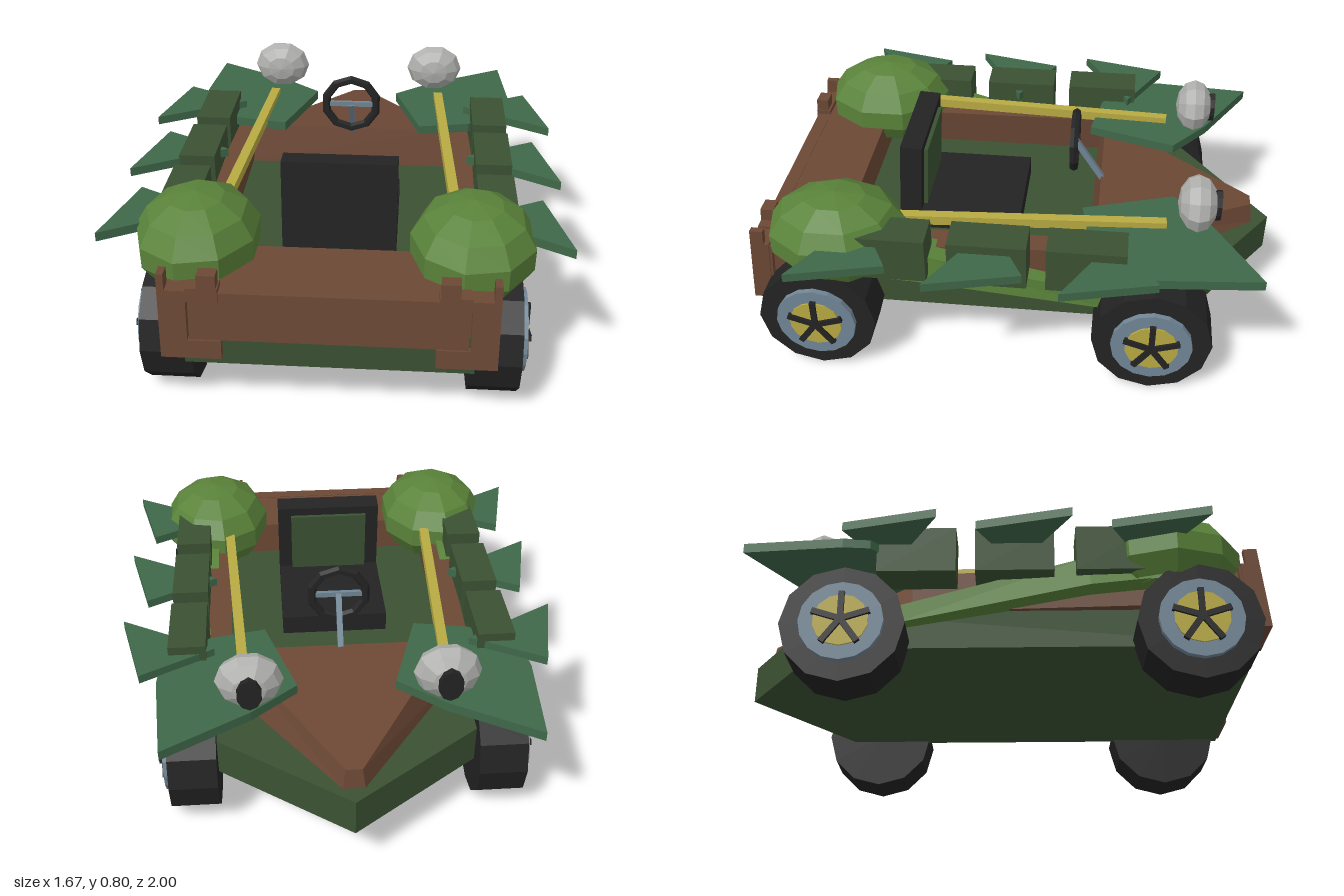
import * as THREE from 'three';

const mat = (name, color, extra = {}) => {
  const m = new THREE.MeshStandardMaterial({ color, flatShading: true, ...extra });
  m.name = name;
  return m;
};

// Closed solid between matching rings of [x, y, z] points
function loft(...rings) {
  const n = rings[0].length, tris = [];
  for (let r = 0; r < rings.length - 1; r++) {
    const a = rings[r], b = rings[r + 1];
    for (let i = 0; i < n; i++) {
      const j = (i + 1) % n;
      tris.push([a[i], a[j], b[j]], [a[i], b[j], b[i]]);
    }
  }
  const last = rings[rings.length - 1];
  for (let i = 1; i < n - 1; i++) {
    tris.push([rings[0][0], rings[0][i + 1], rings[0][i]], [last[0], last[i], last[i + 1]]);
  }
  // Turn every face outward whichever way the rings wind
  const v = (p) => new THREE.Vector3(...p);
  const volume = tris.reduce((s, [a, b, c]) => s + v(a).dot(v(b).cross(v(c))), 0);
  if (volume < 0) tris.forEach((t) => t.reverse());
  const g = new THREE.BufferGeometry();
  g.setAttribute('position', new THREE.Float32BufferAttribute(tris.flat(2), 3));
  g.computeVertexNormals();
  return g;
}

// Flat plate from a plan outline of [x, z] points
const plate = (pts, y0, y1, s = 1) =>
  loft(pts.map(([x, z]) => [s * x, y0, z]), pts.map(([x, z]) => [s * x, y1, z]));

export function createModel() {
  const model = new THREE.Group();
  model.name = 'kart';
  const hullGreen = mat('hull green', 0x3b5233);
  const leafGreen = mat('leaf green', 0x3f6849);
  const mossGreen = mat('moss green', 0x5a833a);
  const brown = mat('bark brown', 0x6c4835);
  const black = mat('black', 0x232324);
  const yellow = mat('yellow', 0xb8aa42);
  const steel = mat('steel blue', 0x718696);
  const grey = mat('lamp grey', 0xb0b0ae);

  const add = (name, geo, material, pos = [0, 0, 0], parent = model) => {
    const m = new THREE.Mesh(geo, material);
    m.name = name;
    m.position.set(...pos);
    parent.add(m);
    return m;
  };
  const box = (name, size, material, pos, parent) =>
    add(name, new THREE.BoxGeometry(...size), material, pos, parent);

  // Rod of square section between two points
  const beam = (name, a, b, w, material) => {
    const p = new THREE.Vector3(...a), q = new THREE.Vector3(...b);
    const m = box(name, [w, w, p.distanceTo(q)], material, p.clone().add(q).multiplyScalar(0.5).toArray());
    m.lookAt(q);
    return m;
  };

  // Pointed hull
  add('hull', plate([[0, -1], [0.5, -0.64], [0.5, 0.97], [-0.5, 0.97], [-0.5, -0.64]], 0.2, 0.35), hullGreen);

  // Sloping hood
  add('hood', loft(
    [[-0.04, 0.35, -0.93], [0.04, 0.35, -0.93], [0.03, 0.43, -0.92], [-0.03, 0.43, -0.92]],
    [[-0.5, 0.35, -0.28], [0.5, 0.35, -0.28], [0.42, 0.51, -0.31], [-0.42, 0.51, -0.31]],
  ), brown);

  // Rear deck and tail board
  add('rearDeck', plate([[-0.54, 0.66], [0.54, 0.66], [0.55, 0.95], [-0.55, 0.95]], 0.35, 0.49), brown);
  const tailSlab = (name, x0, x1, y0, y1, front, back) => {
    const ring = (y) => {
      const lean = 0.08 * (y - 0.24);
      return [[x0, y, front - lean], [x1, y, front - lean], [x1, y, back - lean], [x0, y, back - lean]];
    };
    add(name, loft(ring(y0), ring(y1)), brown);
  };
  tailSlab('tailBoard', -0.57, 0.57, 0.24, 0.49, 0.92, 0.97);
  tailSlab('tailPanel', -0.475, 0.475, 0.31, 0.492, 0.94, 0.993);

  for (const s of [-1, 1]) {
    const span = (a, b) => (s > 0 ? [a, b] : [-b, -a]);

    // Claw shaped tail corners
    tailSlab('tailPost', ...span(0.48, 0.575), 0.24, 0.5, 0.93, 1);
    tailSlab('tailFoot', ...span(0.365, 0.48), 0.24, 0.31, 0.94, 1);
    tailSlab('tailUpper', ...span(0.37, 0.48), 0.46, 0.51, 0.94, 1);
    tailSlab('tailTooth', ...span(0.375, 0.44), 0.51, 0.56, 0.95, 1);
    tailSlab('tailTooth', ...span(0.55, 0.575), 0.5, 0.56, 0.95, 1);

    // Cockpit side rail
    add('sideRail', loft(
      [[s * 0.44, 0.35, -0.31], [s * 0.5, 0.35, -0.31], [s * 0.5, 0.51, -0.31], [s * 0.42, 0.51, -0.31]],
      [[s * 0.44, 0.35, 0.68], [s * 0.54, 0.35, 0.68], [s * 0.54, 0.5, 0.68], [s * 0.42, 0.5, 0.68]],
    ), brown);

    // Tapering side sweep
    add('sideSweep', loft(
      [[s * 0.48, 0.28, -0.36], [s * 0.55, 0.28, -0.36], [s * 0.55, 0.35, -0.36], [s * 0.48, 0.35, -0.36]],
      [[s * 0.48, 0.4, 0.35], [s * 0.61, 0.4, 0.35], [s * 0.6, 0.52, 0.35], [s * 0.48, 0.52, 0.35]],
      [[s * 0.48, 0.42, 0.6], [s * 0.62, 0.42, 0.6], [s * 0.61, 0.54, 0.6], [s * 0.48, 0.54, 0.6]],
    ), mossGreen);

    // Rear bush fender
    const fender = add('rearFender', new THREE.SphereGeometry(1, 9, 5, 0, Math.PI * 2, 0, Math.PI * 0.72),
      mossGreen, [s * 0.49, 0.53, 0.66]);
    fender.scale.set(0.23, 0.178, 0.27);
    const base = add('fenderBase', new THREE.CylinderGeometry(0.15, 0.15, 0.02, 9), mossGreen, [s * 0.49, 0.425, 0.66]);
    base.scale.z = 1.15;

    // Front leaf fender
    add('frontLeaf', plate([[0.66, -0.92], [0.35, -0.74], [0.18, -0.6], [0.29, -0.25], [0.5, -0.29], [0.68, -0.45], [0.69, -0.55]],
      0.518, 0.555, s), leafGreen);

    // Side pods with leaf blades
    for (const z of [-0.285, 0.075, 0.445]) {
      box('sidePod', [0.14, 0.18, 0.29], hullGreen, [s * 0.58, 0.53, z]);
    }
    for (const z of [-0.2, 0.28, 0.77]) {
      add('sideLeaf', plate([[0.833, z], [0.75, z - 0.345], [0.48, z - 0.2]], 0.552, 0.586, s), leafGreen);
    }

    // Yellow rail
    beam('yellowRail', [s * 0.37, 0.56, -0.57], [s * 0.43, 0.56, 0.47], 0.038, yellow);

    // Headlamp facing the nose
    const lamp = add('headlamp', new THREE.SphereGeometry(1, 10, 6), grey, [s * 0.35, 0.655, -0.68]);
    lamp.rotation.x = Math.PI / 2;
    lamp.scale.set(0.122, 0.075, 0.105);
    const pupil = add('lampCentre', new THREE.CylinderGeometry(0.045, 0.045, 0.035, 10), black, [s * 0.35, 0.65, -0.748]);
    pupil.rotation.x = Math.PI / 2;
    pupil.scale.z = 1.4;

    // Wheels
    for (const z of [0.73, -0.54]) {
      const wheel = new THREE.Group();
      wheel.name = 'wheel';
      wheel.position.set(s * 0.573, 0.225, z);
      wheel.rotation.y = s * Math.PI / 2;
      model.add(wheel);
      const disc = (name, r, depth, x, material, sides) => {
        const m = add(name, new THREE.CylinderGeometry(r, r, depth, sides), material, [0, 0, x], wheel);
        m.rotation.x = Math.PI / 2;
      };
      disc('tyre', 0.225, 0.18, 0, black, 12);
      disc('rim', 0.152, 0.04, 0.092, steel, 16);
      disc('hub', 0.1, 0.02, 0.108, yellow, 14);
      for (let i = 0; i < 5; i++) {
        const a = i * Math.PI * 2 / 5;
        const spoke = box('spoke', [0.022, 0.108, 0.022], black,
          [Math.sin(a) * 0.054, Math.cos(a) * 0.054, 0.117], wheel);
        spoke.rotation.z = -a;
      }
    }
  }

  // Seat
  box('seatCushion', [0.43, 0.08, 0.4], black, [0, 0.39, 0.2]);
  const seatBack = new THREE.Group();
  seatBack.name = 'seatBack';
  seatBack.position.set(0, 0.54, 0.435);
  seatBack.rotation.x = -0.06;
  model.add(seatBack);
  box('backrest', [0.43, 0.38, 0.085], black, [0, 0, 0], seatBack);
  box('backrestPad', [0.32, 0.27, 0.02], hullGreen, [0, 0.02, -0.048], seatBack);

  // Steering wheel and column
  add('steeringWheel', new THREE.TorusGeometry(0.108, 0.018, 6, 10), black, [0, 0.675, -0.2]).rotation.z = Math.PI / 10;
  box('steeringSpoke', [0.2, 0.02, 0.015], steel, [0, 0.675, -0.2]);
  beam('steeringColumn', [0, 0.675, -0.2], [0, 0.49, -0.32], 0.022, steel);

  return model;
}
